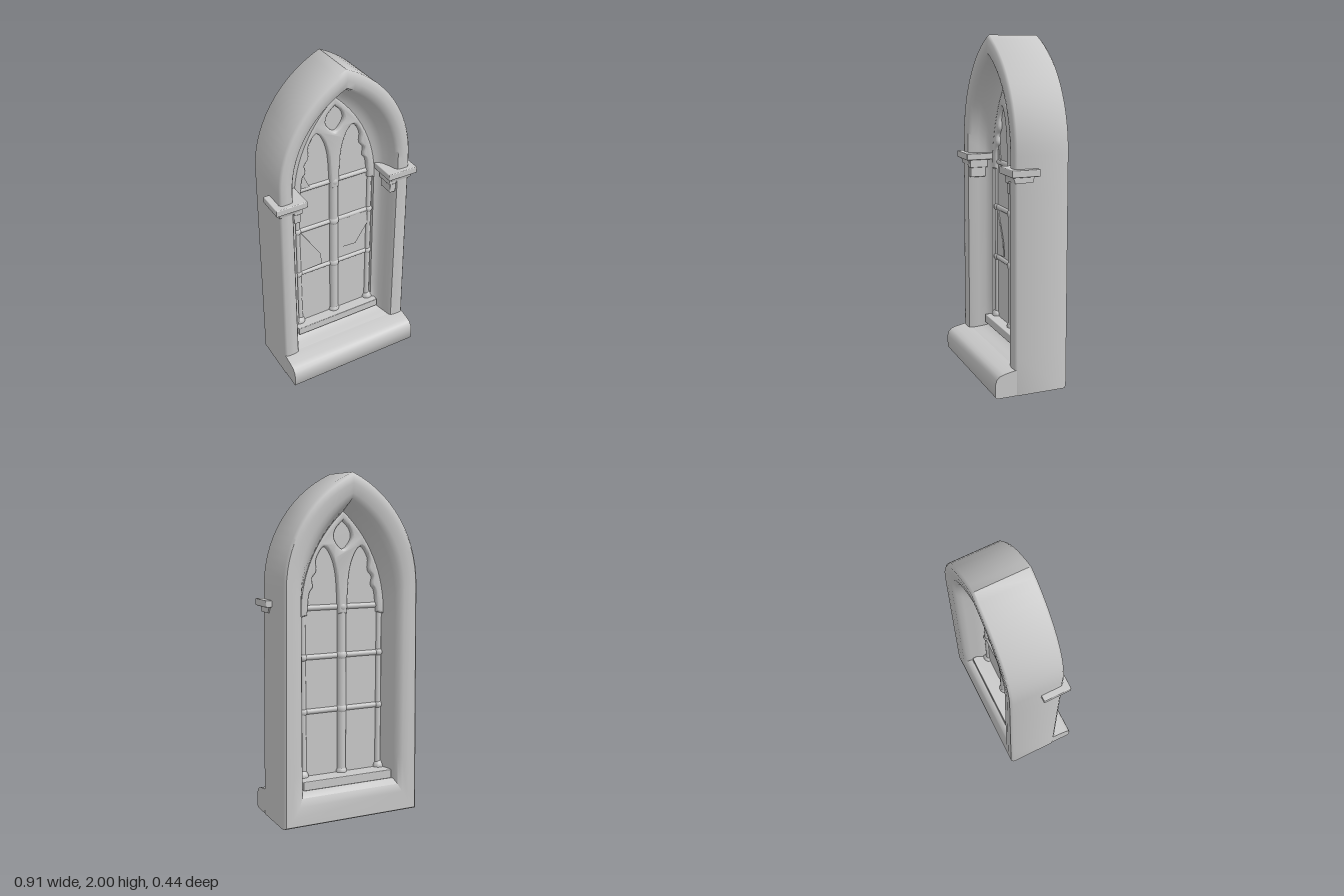
import * as THREE from 'three';
import { toCreasedNormals } from 'three/addons/utils/BufferGeometryUtils.js';
import { RoundedBoxGeometry } from 'three/addons/geometries/RoundedBoxGeometry.js';

const PANE_Z = -0.06;
const SPRING = 1.36;

// Pointed arch outline, counter-clockwise from the right foot to the left foot
function archPoints(hw, bottom, spring, apex, flare = 0, steps = 14) {
  const h = apex - spring;
  const r = (hw * hw + h * h) / (2 * hw);
  const end = Math.asin(h / r);
  const right = [];
  for (let i = 0; i < 6; i++) {
    right.push([hw + flare * (1 - i / 6), bottom + (spring - bottom) * i / 6]);
  }
  for (let i = 0; i < steps; i++) {
    const a = end * i / steps;
    right.push([hw - r + r * Math.cos(a), spring + r * Math.sin(a)]);
  }
  const left = right.map(([x, y]) => [-x, y]).reverse();
  return [...right, [0, apex], ...left];
}

// Closed skin through a loop of arch-shaped rings
function frameGeometry() {
  // half width, bottom, spring, apex, z
  const rings = [
    [0.42, 0, SPRING, 2, 0.088],
    [0.408, 0.01, SPRING, 1.986, 0.102],
    [0.375, 0.1, SPRING, 1.94, 0.103],
    [0.343, 0.148, SPRING, 1.897, 0.098],
    [0.331, 0.154, 1.35, 1.882, 0.078],
    [0.319, 0.16, 1.33, 1.864, 0.04],
    [0.303, 0.17, 1.29, 1.84, 0.0],
    [0.284, 0.185, 1.24, 1.812, -0.025],
    [0.265, 0.2, 1.2, 1.785, -0.035],
    [0.265, 0.2, 1.2, 1.785, -0.085],
    [0.28, 0.198, 1.23, 1.808, -0.12],
    [0.298, 0.192, 1.28, 1.835, -0.17],
    [0.312, 0.165, 1.31, 1.855, -0.198],
    [0.335, 0.12, 1.34, 1.885, -0.214],
    [0.375, 0.055, SPRING, 1.94, -0.22],
    [0.407, 0.01, SPRING, 1.984, -0.22],
    [0.42, 0, SPRING, 2, -0.205],
  ];
  const pos = [], index = [];
  const n = archPoints(1, 0, 1, 2).length;
  for (const [hw, b, s, a, z] of rings) {
    for (const [x, y] of archPoints(hw, b, s, a, hw > 0.4 ? 0.013 : 0)) pos.push(x, y, z);
  }
  for (let i = 0; i < rings.length; i++) {
    const k = (i + 1) % rings.length;
    for (let j = 0; j < n; j++) {
      const m = (j + 1) % n;
      const a = i * n + j, b = i * n + m, c = k * n + m, d = k * n + j;
      index.push(a, b, c, a, c, d);
    }
  }
  const g = new THREE.BufferGeometry();
  g.setAttribute('position', new THREE.Float32BufferAttribute(pos, 3));
  g.setIndex(index);
  return toCreasedNormals(g, 0.85);
}

// Side profile (z, y) swept along x
function sweepX(points, width) {
  const shape = new THREE.Shape(points.map(p => new THREE.Vector2(...p)));
  const g = new THREE.ExtrudeGeometry(shape, { depth: width, bevelEnabled: false });
  g.translate(0, 0, -width / 2).rotateY(-Math.PI / 2);
  return toCreasedNormals(g, 0.7);
}

// Window head: outer arch, two cusped lancet openings and a teardrop eye
function traceryGeometry() {
  const lancet = [
    [0.225, 1.2], [0.213, 1.32], [0.19, 1.36], [0.195, 1.41], [0.168, 1.45],
    [0.168, 1.52], [0.12, 1.588], [0.072, 1.54], [0.038, 1.42], [0.026, 1.2],
  ].map(p => new THREE.Vector2(...p));
  const rightArc = new THREE.SplineCurve(lancet).getPoints(36).reverse();
  const leftArc = rightArc.map(p => new THREE.Vector2(-p.x, p.y)).reverse();
  const outer = archPoints(0.27, 1.19, 1.2, 1.79).map(p => new THREE.Vector2(...p));
  const shape = new THREE.Shape([...outer, ...leftArc, ...rightArc]);
  const eye = new THREE.SplineCurve([
    [0, 1.735], [-0.045, 1.69], [-0.058, 1.64], [-0.035, 1.595], [0, 1.57],
    [0.035, 1.595], [0.058, 1.64], [0.045, 1.69], [0, 1.735],
  ].map(p => new THREE.Vector2(...p)));
  shape.holes.push(new THREE.Path(eye.getPoints(32).slice(0, -1)));
  const g = new THREE.ExtrudeGeometry(shape, {
    depth: 0.02, bevelThickness: 0.02, bevelSize: 0.014, bevelOffset: -0.012, bevelSegments: 4,
  });
  g.translate(0, 0, PANE_Z - 0.01);
  return toCreasedNormals(g, 0.7);
}

export function createModel() {
  const model = new THREE.Group();
  model.name = 'gothicWindow';
  const stone = new THREE.MeshStandardMaterial({ color: 0xc8c8c8 });
  stone.name = 'stone grey';

  const add = (name, geometry, x = 0, y = 0, z = 0) => {
    const mesh = new THREE.Mesh(geometry, stone);
    mesh.name = name;
    mesh.position.set(x, y, z);
    model.add(mesh);
    return mesh;
  };
  const box = (name, x0, x1, y0, y1, z0, z1) => add(name,
    new RoundedBoxGeometry(x1 - x0, y1 - y0, z1 - z0, 2, 0.005), (x0 + x1) / 2, (y0 + y1) / 2, (z0 + z1) / 2);

  // Stone surround and projecting sill
  add('archFrame', frameGeometry());
  add('sill', sweepX([
    [0.02, 0], [0.212, 0], [0.22, 0.01], [0.22, 0.085], [0.213, 0.11], [0.195, 0.13],
    [0.165, 0.14], [0.13, 0.147], [0.1, 0.152], [0.02, 0.155],
  ], 0.86));
  box('innerSill', -0.288, 0.288, 0.195, 0.248, -0.165, 0.012);

  // Capitals at the foot of the arch
  const cove = [
    [-0.02, 1.252], [0.12, 1.252], [0.112, 1.24], [0.106, 1.225], [0.104, 1.215], [0, 1.215], [-0.005, 1.238],
  ];
  for (const side of [-1, 1]) {
    const span = (name, a, b, ...rest) =>
      box(name, Math.min(side * a, side * b), Math.max(side * a, side * b), ...rest);
    span('capitalSlab', 0.265, 0.457, 1.25, 1.29, -0.035, 0.132);
    add('capitalCove', sweepX(cove, 0.13), side * 0.365);
    span('capitalCorbel', 0.295, 0.335, 1.14, 1.25, 0.0, 0.098);
    span('capitalCorbelStep', 0.285, 0.335, 1.2, 1.25, -0.01, 0.105);
  }

  // Tracery, central mullion and side colonnettes
  add('tracery', traceryGeometry());
  add('mullion', new THREE.CylinderGeometry(0.029, 0.029, 1.24, 20), 0, 0.86, PANE_Z);
  const baseProfile = [[0, 0], [0.034, 0], [0.036, 0.015], [0.03, 0.03], [0.018, 0.045], [0, 0.045]]
    .map(p => new THREE.Vector2(...p));
  const base = toCreasedNormals(new THREE.LatheGeometry(baseProfile, 20), 0.7);
  add('mullionBase', base, 0, 0.24, PANE_Z);
  for (const side of [-1, 1]) {
    add('colonnette', new THREE.CylinderGeometry(0.016, 0.019, 0.98, 14), side * 0.245, 0.735, PANE_Z);
    add('colonnetteBase', base, side * 0.25, 0.24, PANE_Z);
  }

  // Horizontal bars with a knuckle at every joint
  for (const y of [0.635, 0.955, 1.24]) {
    add('crossBar', new THREE.CylinderGeometry(0.017, 0.017, 0.53, 12), 0, y, PANE_Z).rotation.z = Math.PI / 2;
    for (const x of [-0.245, 0, 0.245]) {
      add('barKnuckle', new THREE.SphereGeometry(x ? 0.025 : 0.035, 16, 10), x, y, PANE_Z);
    }
  }

  // Panes
  const plate = (points, depth) => new THREE.ExtrudeGeometry(
    new THREE.Shape(points.map(p => new THREE.Vector2(...p))), { depth, bevelEnabled: false });
  add('pane', plate(archPoints(0.275, 0.2, 1.2, 1.79), 0.008), 0, 0, PANE_Z - 0.004);

  // Cracked pieces, tilted slightly out of the panes
  const shard = (name, points, x, y, turn) => {
    add(name, plate(points, 0.006), x, y, PANE_Z + 0.003).rotation.y = turn;
  };
  shard('crackedPaneLeft', [[0, 0.3], [0.13, 0.1], [0.14, 0.02], [0, 0]], -0.23, 0.65, -0.1);
  shard('crackedPaneRight', [[0, 0], [0.12, 0], [0.2, 0.13], [0.2, 0.22], [0, 0.22]], 0.03, 0.73, -0.05);
  shard('crackedPaneUpper', [[0, 0.14], [0, 0], [0.06, 0]], -0.22, 1.25, -0.1);
  return model;
}
